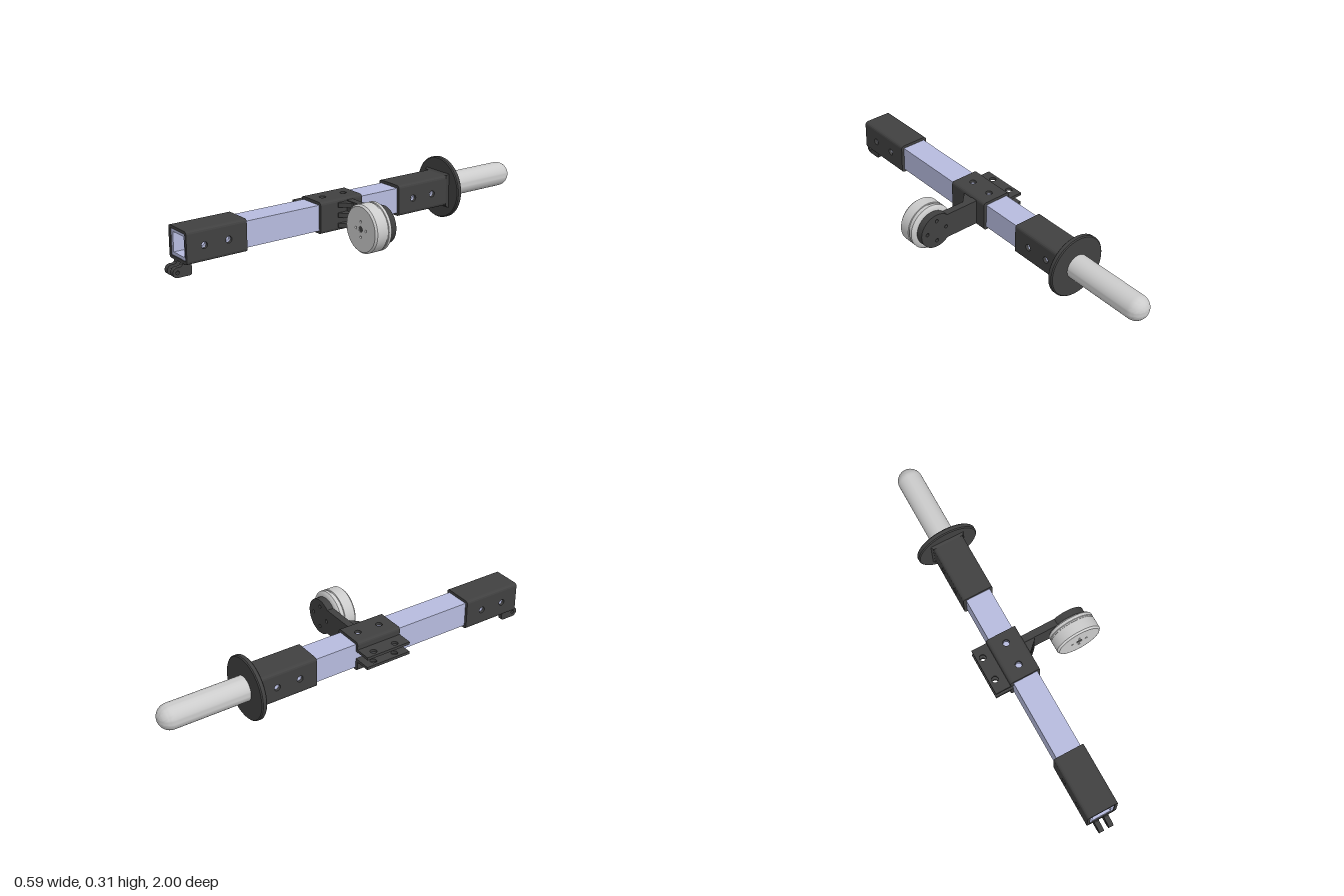
import * as THREE from 'three';
import { toCreasedNormals } from 'three/addons/utils/BufferGeometryUtils.js';

const CX = -0.14, CY = 0.155; // axis of the square tube
const dark = new THREE.MeshStandardMaterial({ color: 0x404040 });
const blue = new THREE.MeshStandardMaterial({ color: 0xb6bbde });
const grey = new THREE.MeshStandardMaterial({ color: 0xcccccc });

function mesh(name, geometry, material, parent) {
  const m = new THREE.Mesh(geometry, material);
  m.name = name;
  parent.add(m);
  return m;
}

// Shape helpers: holes are [x, y, radius]
function addHoles(shape, holes) {
  for (const [x, y, r] of holes) shape.holes.push(new THREE.Path().absarc(x, y, r, 0, Math.PI * 2, true));
  return shape;
}
function rect(x0, y0, x1, y1, holes = []) {
  const s = new THREE.Shape();
  s.moveTo(x0, y0).lineTo(x1, y0).lineTo(x1, y1).lineTo(x0, y1).closePath();
  return addHoles(s, holes);
}
function extrude(shape, depth) {
  const g = new THREE.ExtrudeGeometry(shape, { depth, bevelEnabled: false, curveSegments: 24 });
  return toCreasedNormals(g, 0.6);
}
// Outline in (z, y), extruded from xMax towards -x
const alongX = (shape, xMax, t) => extrude(shape, t).rotateY(-Math.PI / 2).translate(xMax, 0, 0);
// Outline in (x, -z), extruded upwards from yMin
const alongY = (shape, yMin, t) => extrude(shape, t).rotateX(-Math.PI / 2).translate(0, yMin, 0);

// Lathe turned about the z axis
function turned(points, segments = 64) {
  const g = new THREE.LatheGeometry(points.map(([r, z]) => new THREE.Vector2(r, z)), segments);
  return toCreasedNormals(g.rotateX(Math.PI / 2), 0.5);
}

// Drilled square sleeve along z; sides in order +x, +y, -x, -y
function squareSleeve(name, size, wall, z0, z1, material, drill, radius, sides = [0, 1, 2, 3]) {
  const group = new THREE.Group();
  group.name = name;
  group.position.set(CX, CY, 0);
  const h = size / 2, v = h - wall;
  for (let k = 0; k < 4; k++) {
    const turn = k * Math.PI / 2;
    if (sides.includes(k)) {
      const holes = drill[k % 2].map(z => [z, 0, radius]);
      mesh('wall', alongX(rect(z0, -v, z1, v, holes), h, wall).rotateZ(turn), material, group);
    }
    const corner = new THREE.Shape().moveTo(v, v).lineTo(h, v);
    if (material === dark) corner.absarc(v, v, wall, 0, Math.PI / 2, false);
    else corner.lineTo(h, h).lineTo(v, h);
    corner.closePath();
    mesh('corner', extrude(corner, z1 - z0).translate(0, 0, z0).rotateZ(turn), material, group);
  }
  return group;
}

export function createModel() {
  const model = new THREE.Group();
  model.name = 'tubeAssembly';
  const sideHoles = [0.86, 0.735, -0.32, -0.44], topHoles = [0.05, 0.17];

  // Main tube and its three sleeves
  model.add(squareSleeve('mainTube', 0.125, 0.015, -0.54, 0.945, blue, [sideHoles, topHoles], 0.015));
  model.add(squareSleeve('frontSleeve', 0.154, 0.0145, 0.64, 0.95, dark, [sideHoles.slice(0, 2), []], 0.016));
  model.add(squareSleeve('rearSleeve', 0.154, 0.0145, -0.54, -0.23, dark, [sideHoles.slice(2), []], 0.016));
  const clamp = squareSleeve('clamp', 0.154, 0.0145, -0.005, 0.235, dark, [[], topHoles], 0.016, [0, 1, 3]);
  model.add(clamp);

  // Split side of the clamp: wall strips and drilled bolting flanges
  const strips = [[0.18, 0.2175], [0.0925, 0.14]];
  for (const [y0, y1] of strips) {
    const strip = new THREE.BoxGeometry(0.0145, y1 - y0, 0.24).translate(-0.20975, (y0 + y1) / 2, 0.115);
    mesh('clampStrip', strip, dark, model);
  }
  for (const y of [0.18, 0.127]) {
    const flange = rect(-0.295, -0.235, -0.205, 0.005, topHoles.map(z => [-0.265, -z, 0.016]));
    mesh('clampFlange', alongY(flange, y, 0.014), dark, model);
  }

  // Hinge lugs under the front end
  const lug = new THREE.Shape();
  lug.moveTo(0.905, 0.08).lineTo(0.905, 0.028).quadraticCurveTo(0.905, 0.016, 0.917, 0.016).lineTo(0.976, 0.016);
  lug.absarc(0.976, 0.04, 0.024, -Math.PI / 2, Math.PI / 2, false);
  lug.lineTo(0.962, 0.064).quadraticCurveTo(0.95, 0.066, 0.95, 0.08).closePath();
  addHoles(lug, [[0.976, 0.04, 0.009]]);
  for (const x of [-0.165, -0.115]) mesh('hingeLug', alongX(lug, x + 0.012, 0.024), dark, model);

  // Round guard with a square collar, and the rounded handle
  const guard = turned([[0, -0.567], [0.15, -0.567], [0.155, -0.562], [0.155, -0.545], [0.15, -0.54], [0, -0.54]], 80);
  mesh('guard', guard.translate(CX, CY + 0.001, 0), dark, model);
  const collar = new THREE.CylinderGeometry(0.079 * Math.SQRT2, 0.087 * Math.SQRT2, 0.012, 4, 1, true, Math.PI / 4);
  mesh('guardCollar', toCreasedNormals(collar.rotateX(Math.PI / 2).translate(CX, CY, -0.534), 0.5), dark, model);
  const profile = [];
  for (let i = 0; i <= 12; i++) {
    const a = i / 12 * Math.PI / 2;
    profile.push([0.061 * Math.sin(a), -0.939 - 0.061 * Math.cos(a)]);
  }
  profile.push([0.061, -0.56]);
  mesh('handle', turned(profile, 48).translate(CX, CY + 0.003, 0), grey, model);

  // Side arm ending in a round motor mount
  const MX = 0.177, R = 0.09, H = 0.065, a = Math.PI - Math.asin(H / R);
  const arm = new THREE.Shape().moveTo(-0.066, CY + H).lineTo(-0.066, CY - H);
  arm.absarc(MX, CY, R, -a, a, false).closePath();
  const ring = (radius, size) => [0, 1, 2, 3].map(i =>
    [MX + radius * Math.cos(i * Math.PI / 2), CY + radius * Math.sin(i * Math.PI / 2), size]);
  addHoles(arm, ring(0.055, 0.009));
  mesh('sideArm', extrude(arm, 0.035).translate(0, 0, 0.05), dark, model);

  // Gussets bracing the arm against the clamp
  for (const y of [0.205, 0.155, 0.104]) {
    const gusset = new THREE.Shape().moveTo(-0.066, -0.084).lineTo(-0.066, -0.137).lineTo(-0.058, -0.137);
    gusset.lineTo(-0.012, -0.092).lineTo(-0.012, -0.084).closePath();
    mesh('gusset', alongY(gusset, y - 0.011, 0.022), dark, model);
  }

  // Motor: grooved can, drilled face and shaft
  const can = turned([[0, 0.085], [0.095, 0.085], [0.108, 0.09], [0.115, 0.097], [0.115, 0.111], [0.111, 0.113],
    [0.111, 0.119], [0.115, 0.121], [0.115, 0.176], [0.107, 0.185], [0.107, 0.175], [0, 0.175]]);
  mesh('motorCan', can.translate(MX, CY, 0), grey, model);
  const face = new THREE.Shape().absarc(MX, CY, 0.107, 0, Math.PI * 2, false);
  addHoles(face, [[MX, CY, 0.015], ...ring(0.037, 0.006)]);
  mesh('motorFace', extrude(face, 0.009).translate(0, 0, 0.1755), grey, model);
  const shaft = new THREE.CylinderGeometry(0.015, 0.015, 0.008, 32).rotateX(Math.PI / 2);
  mesh('motorShaft', shaft.translate(MX, CY, 0.178), dark, model);

  return model;
}
